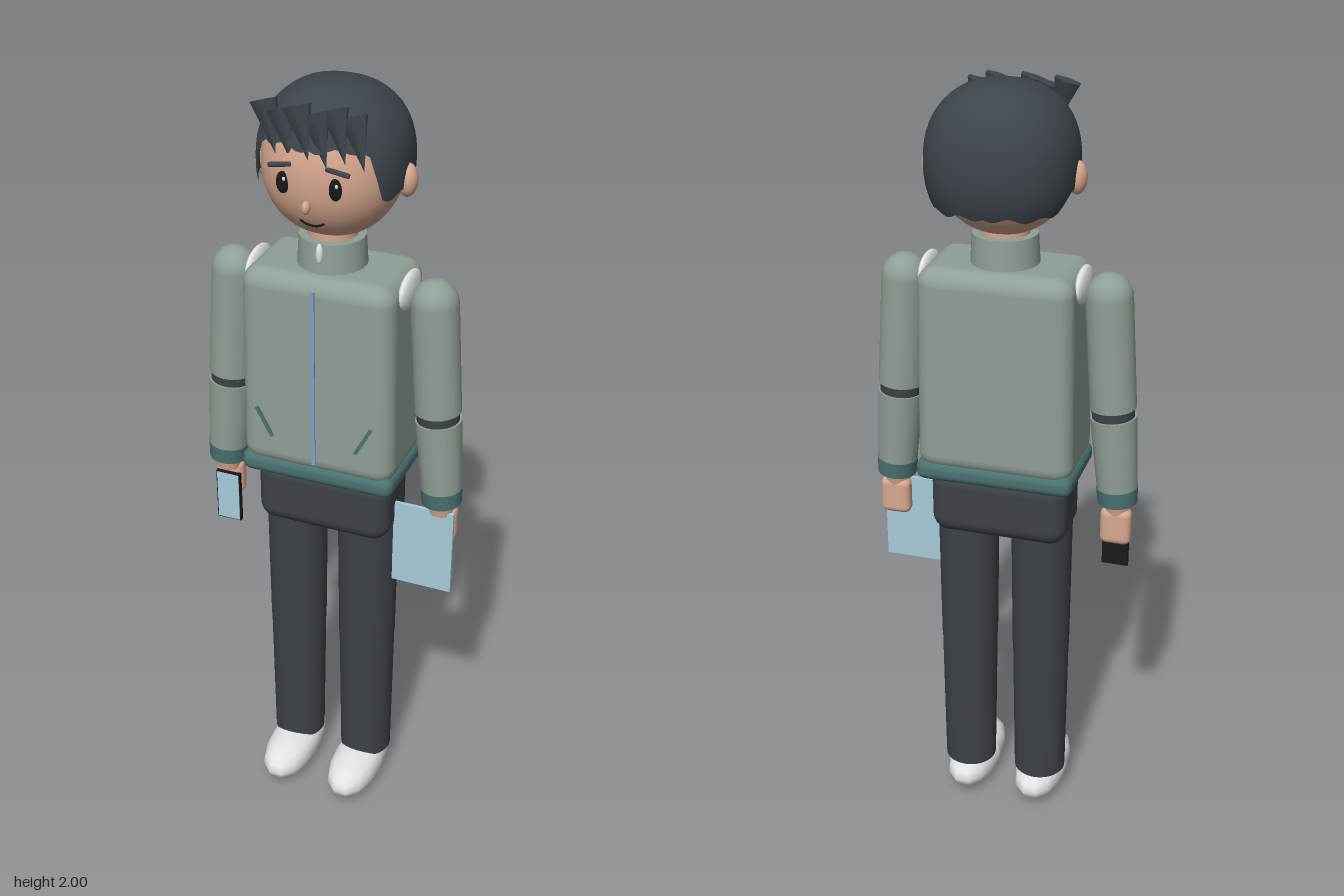
import * as THREE from 'three';
import { RoundedBoxGeometry } from 'three/addons/geometries/RoundedBoxGeometry.js';

const mat = (name, color, side = THREE.FrontSide) => {
  const m = new THREE.MeshStandardMaterial({ color, side });
  m.name = name;
  return m;
};

export function createModel() {
  const root = new THREE.Group();
  root.name = 'standingFigure';
  const skin = mat('skin', 0xd6a78e);
  const hair = mat('hair', 0x3d444a, THREE.DoubleSide);
  const jacket = mat('jacket', 0x8f9f95);
  const trim = mat('trim', 0x4a7270);
  const trousers = mat('trousers', 0x3e4348);
  const white = mat('white', 0xe6e6e9);
  const black = mat('black', 0x17191b);
  const zipBlue = mat('zipBlue', 0x7f9fca);
  const paleBlue = mat('paleBlue', 0xa6cbd8);

  const add = (name, geo, material, x = 0, y = 0, z = 0, rz = 0) => {
    const mesh = new THREE.Mesh(geo, material);
    mesh.name = name;
    mesh.position.set(x, y, z);
    mesh.rotation.z = rz;
    root.add(mesh);
    return mesh;
  };
  const ball = (rx, ry, rz, ws = 20, hs = 14) =>
    new THREE.SphereGeometry(1, ws, hs).scale(rx, ry, rz);
  // Point on a squarish ellipsoid in direction (polar t, azimuth a from +z)
  const squircle = (t, a, r, p) => {
    const d = [Math.sin(t) * Math.sin(a), Math.cos(t), Math.sin(t) * Math.cos(a)];
    const k = d.reduce((s, v) => s + Math.abs(v) ** p, 0) ** (-1 / p);
    return d.map((v, i) => v * k * r[i]);
  };
  // Surface whose lower edge follows the polar angle hem(azimuth)
  const shell = (r, p, hem, cols = 72, rows = 18) => {
    const pos = [], idx = [];
    for (let i = 0; i <= rows; i++) {
      for (let j = 0; j < cols; j++) {
        const a = (j / cols) * Math.PI * 2 - Math.PI;
        pos.push(...squircle((hem(a) * i) / rows, a, r, p));
      }
    }
    for (let i = 0; i < rows; i++) {
      for (let j = 0; j < cols; j++) {
        const n = (j + 1) % cols;
        const a = i * cols + j, b = i * cols + n, c = a + cols, d = b + cols;
        if (i > 0) idx.push(a, c, b);
        idx.push(b, c, d);
      }
    }
    const g = new THREE.BufferGeometry();
    g.setAttribute('position', new THREE.Float32BufferAttribute(pos, 3));
    g.setIndex(idx);
    g.computeVertexNormals();
    return g;
  };
  // Rounded box whose width and depth change linearly to the top
  const taperBox = (w, h, d, r, topX, topZ) => {
    const g = new RoundedBoxGeometry(w, h, d, 4, r);
    const p = g.attributes.position;
    for (let i = 0; i < p.count; i++) {
      const t = p.getY(i) / h + 0.5;
      p.setX(i, p.getX(i) * (1 + (topX - 1) * t));
      p.setZ(i, p.getZ(i) * (1 + (topZ - 1) * t));
    }
    return g;
  };
  // Tapered limb between two points in the plane z = 0
  const limb = (name, x0, y0, r0, x1, y1, r1, material) =>
    add(name, new THREE.CylinderGeometry(r0, r1, Math.hypot(x1 - x0, y1 - y0), 24),
      material, (x0 + x1) / 2, (y0 + y1) / 2, 0, Math.atan2(x1 - x0, y0 - y1));

  // Head and hair cap, open over the face
  const faceR = [0.166, 0.174, 0.156], faceY = 1.815, faceC = -0.007, faceP = 2.15;
  add('head', shell(faceR, faceP, () => Math.PI, 40, 24), skin, 0, faceY, faceC);
  const faceZ = (x, y) => {
    const u = Math.abs(x / faceR[0]) ** faceP + Math.abs((y - faceY) / faceR[1]) ** faceP;
    return faceC + faceR[2] * Math.max(0, 1 - u) ** (1 / faceP);
  };
  const step = THREE.MathUtils.smoothstep;
  const hem = (a) => {
    const b = Math.abs(a);
    return 1.2 + 0.62 * step(b, 0.72, 0.98) + 0.28 * step(b, 1.6, 2.2)
      + 0.035 * Math.sin(b * 13);
  };
  add('hairCap', shell([0.18, 0.185, 0.173], 2.3, hem), hair, 0, 1.815, -0.022);

  // Pointed fringe locks
  for (let i = 0; i < 6; i++) {
    const x = -0.1 + i * 0.042;
    const geo = new THREE.ConeGeometry(0.036, 0.12, 6).rotateX(Math.PI).scale(1, 1, 0.4);
    const lock = add('fringeLock', geo, hair, x, 1.918 - 0.012 * (i % 2),
      0.138 - Math.abs(x) * 0.16, 0.28);
    lock.rotation.x = -0.15;
  }

  // Face details and ears
  for (const s of [-1, 1]) {
    add('ear', ball(0.024, 0.04, 0.027), skin, s * 0.176, 1.787, -0.015);
    add('eye', ball(0.016, 0.026, 0.006), black, s * 0.063, 1.802, faceZ(0.063, 1.802) + 0.001);
    add('eyeGlint', ball(0.004, 0.005, 0.003, 8, 6), white, s * 0.063 + 0.005, 1.812,
      faceZ(0.063, 1.812) + 0.006);
    add('eyebrow', new RoundedBoxGeometry(0.058, 0.011, 0.01, 2, 0.004), hair,
      s * 0.069, 1.843, faceZ(0.069, 1.843) + 0.005, -s * 0.16);
  }
  add('nose', ball(0.01, 0.016, 0.014, 10, 8), skin, 0, 1.757, 0.157);
  const smile = [-0.03, -0.016, 0, 0.016, 0.03].map((x) => {
    const y = 1.698 + 14 * x * x;
    return new THREE.Vector3(x, y, faceZ(x, y) + 0.001);
  });
  add('mouth', new THREE.TubeGeometry(new THREE.CatmullRomCurve3(smile), 12, 0.003, 6), black);

  // Neck, collar and zip pull
  add('neck', new THREE.CylinderGeometry(0.06, 0.06, 0.14, 20), skin, 0, 1.61, 0);
  add('collar', new THREE.CylinderGeometry(0.08, 0.085, 0.085, 28), jacket, 0, 1.595, 0);
  add('zipPull', ball(0.009, 0.026, 0.008, 10, 8), white, 0, 1.615, 0.082);

  // Jacket body, hem, zip and slanted pockets
  add('jacketBody', taperBox(0.4, 0.53, 0.25, 0.045, 0.965, 0.99), jacket, 0, 1.3, 0);
  add('jacketHem', new RoundedBoxGeometry(0.405, 0.056, 0.25, 3, 0.024), trim, 0, 1.032, 0);
  add('zip', new THREE.BoxGeometry(0.009, 0.47, 0.006), zipBlue, 0, 1.302, 0.125);
  for (const s of [-1, 1]) {
    add('pocket', new THREE.BoxGeometry(0.009, 0.085, 0.009), trim, s * 0.13, 1.163, 0.125, -s * 0.49);
    add('shoulderPatch', ball(0.016, 0.045, 0.07), white, s * 0.194, 1.525, 0);
  }

  // Arms, cuffs and hands
  for (const s of [-1, 1]) {
    add('shoulder', ball(0.058, 0.058, 0.058, 24, 16), jacket, s * 0.257, 1.502, 0);
    limb('upperArm', s * 0.257, 1.502, 0.058, s * 0.276, 1.217, 0.058, jacket);
    limb('elbowBand', s * 0.275, 1.222, 0.053, s * 0.278, 1.185, 0.053, trousers);
    limb('forearm', s * 0.278, 1.192, 0.058, s * 0.294, 0.99, 0.051, jacket);
    limb('cuff', s * 0.293, 1.0, 0.053, s * 0.296, 0.957, 0.05, trim);
    limb('wrist', s * 0.295, 0.96, 0.036, s * 0.296, 0.925, 0.03, skin);
    add('hand', new RoundedBoxGeometry(0.08, 0.1, 0.042, 3, 0.018), skin, s * 0.296, 0.893, -0.01);
  }

  // Sheet in the left hand, slim device in the right
  add('folder', new THREE.BoxGeometry(0.16, 0.24, 0.01), paleBlue, 0.255, 0.815, 0.016);
  add('device', new THREE.BoxGeometry(0.068, 0.145, 0.012), black, -0.292, 0.838, 0.015);
  add('deviceScreen', new THREE.BoxGeometry(0.062, 0.139, 0.003), paleBlue, -0.292, 0.838, 0.0215);

  // Trousers and shoes
  add('hips', taperBox(0.355, 0.18, 0.19, 0.045, 1.01, 0.94), trousers, 0, 0.93, 0);
  for (const s of [-1, 1]) {
    limb('upperLeg', s * 0.099, 0.92, 0.08, s * 0.1, 0.494, 0.076, trousers);
    limb('lowerLeg', s * 0.1, 0.496, 0.075, s * 0.101, 0.088, 0.07, trousers);
    const shoe = ball(0.068, 0.052, 0.15, 14, 10);
    const p = shoe.attributes.position;
    for (let i = 0; i < p.count; i++) {
      // Full, squarish outline with a flattened sole
      const z = p.getZ(i) / 0.15, y = p.getY(i) / 0.052;
      p.setX(i, p.getX(i) * (1 + 0.18 * z * z));
      p.setY(i, 0.052 * Math.sign(y) * Math.abs(y) ** 0.8);
    }
    shoe.computeVertexNormals();
    add('shoe', shoe, white, s * 0.098, 0.052, 0.047);
  }
  return root;
}
